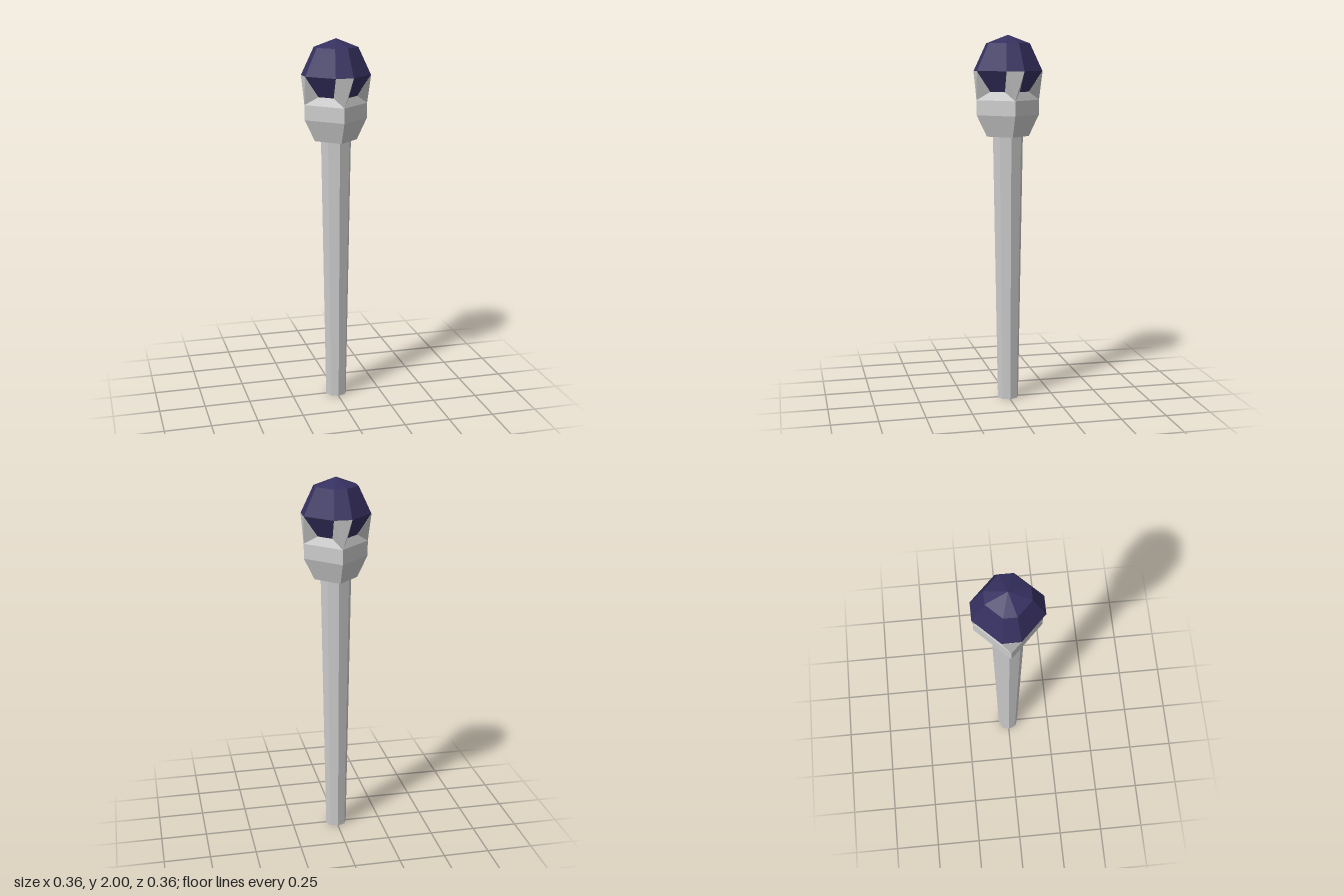
import * as THREE from 'three';

const grey = new THREE.MeshStandardMaterial({ color: 0xcccccc, flatShading: true, side: THREE.DoubleSide });
const violet = new THREE.MeshStandardMaterial({ color: 0x363060, flatShading: true });

// Quarter turn about y, repeated k times, of [x, y, z]
function turn([x, y, z], k) {
  for (let i = 0; i < k; i++) [x, z] = [z, -x];
  return [x, y, z];
}

// Ring of the given corner points, copied to all four sides
function ring(...corners) {
  return [0, 1, 2, 3].flatMap((k) => corners.map((c) => turn(c, k)));
}
const square = (r, y) => ring([0, y, r]);
const octagon = (half, r, y) => ring([-half, y, r], [half, y, r]);

// Faces between successive rings, listed from bottom to top
function loft(rings) {
  const faces = [];
  for (let j = 0; j + 1 < rings.length; j++) {
    const lo = rings[j], hi = rings[j + 1];
    lo.forEach((p, i) => {
      const n = (i + 1) % lo.length;
      faces.push([p, lo[n], hi[n], hi[i]]);
    });
  }
  return faces;
}

// Flat-shaded mesh from convex faces
function faceted(name, faces, material) {
  const pos = [];
  for (const f of faces) {
    for (let i = 1; i + 1 < f.length; i++) pos.push(...f[0], ...f[i], ...f[i + 1]);
  }
  const geo = new THREE.BufferGeometry();
  geo.setAttribute('position', new THREE.Float32BufferAttribute(pos, 3));
  geo.computeVertexNormals();
  const mesh = new THREE.Mesh(geo, material);
  mesh.name = name;
  return mesh;
}

export function createModel() {
  const model = new THREE.Group();
  model.name = 'gemStaff';

  // Tapered eight-sided shaft, open at the ends
  const shaft = new THREE.Mesh(new THREE.CylinderGeometry(0.083, 0.058, 1.465, 8, 1, true), grey);
  shaft.position.y = 1.465 / 2;
  shaft.name = 'shaft';
  model.add(shaft);

  // Square cup, set cornerwise, with a rim sloping in to the gem
  const base = square(0.116, 1.46);
  const cupFaces = loft([base, square(0.172, 1.575), square(0.172, 1.655)]);
  cupFaces.push([...base].reverse());
  const corner = [0, 1.655, 0.172];
  const innerL = [-0.04, 1.7, 0.105], innerR = [0.04, 1.7, 0.105];
  const tipL = [-0.048, 1.81, 0.179], tipR = [0.048, 1.81, 0.179];
  const prongFaces = [];
  for (let k = 0; k < 4; k++) {
    const at = (p) => turn(p, k);
    cupFaces.push([at(corner), turn(corner, k + 1), turn(innerL, k + 1), at(innerR)]);
    // Prong: outer triangle and two sides
    prongFaces.push(
      [corner, tipR, tipL].map(at),
      [tipL, innerL, corner].map(at),
      [tipR, corner, innerR].map(at),
    );
  }
  model.add(faceted('cup', cupFaces, grey));
  model.add(faceted('prongs', prongFaces, grey));

  // Faceted gem with a low pointed crown
  const bottom = octagon(0.04, 0.105, 1.7);
  const crown = octagon(0.034, 0.112, 1.955);
  const gemFaces = loft([bottom, octagon(0.048, 0.178, 1.81), crown]);
  gemFaces.push([...bottom].reverse());
  crown.forEach((p, i) => gemFaces.push([p, crown[(i + 1) % 8], [0, 2, 0]]));
  model.add(faceted('gem', gemFaces, violet));

  return model;
}
